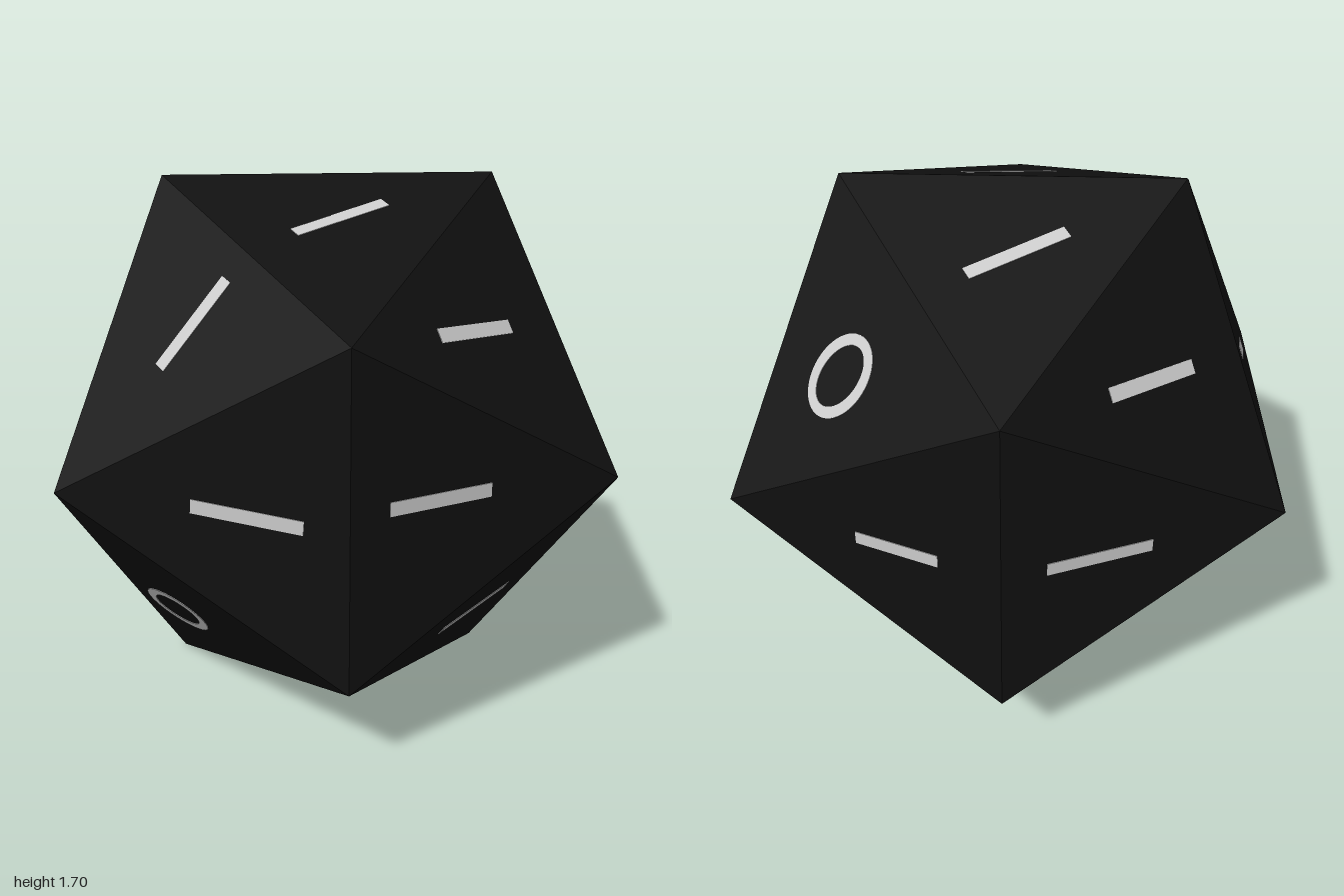
import * as THREE from 'three';
import { ConvexGeometry } from 'three/addons/geometries/ConvexGeometry.js';

const RAD = Math.PI / 180;
const INRADIUS = 0.7947; // centre to face of a unit icosahedron
const RING_Z = 1 / Math.sqrt(5);
const RING_R = 2 / Math.sqrt(5);

// Face bands from the front tip to the rear tip: face centre radius and z
const BANDS = {
  front: { r: 0.482, z: 0.631 },
  midFront: { r: 0.78, z: 0.149 },
  midBack: { r: 0.78, z: -0.149 },
  back: { r: 0.482, z: -0.631 },
};

// Bar inlays: band, face angle, offset to the rear, offset around, twist, length
const BARS = [
  ['front', 0, 0, 0.005, -4, 0.34],
  ['front', 72, 0.047, -0.01, 2.4, 0.32],
  ['front', 144, -0.03, 0.024, 2, 0.32],
  ['front', 216, -0.027, -0.013, 1, 0.31],
  ['midFront', 0, -0.016, 0.045, 0, 0.33],
  ['midFront', 72, 0.034, 0.021, 0, 0.33],
  ['midFront', 144, 0.06, 0.01, 0, 0.33],
  ['midFront', 216, 0.03, -0.012, 0, 0.33],
  ['midFront', 288, 0.01, -0.011, 0, 0.33],
  ['midBack', 36, -0.09, 0, 0, 0.33],
  ['midBack', 108, -0.02, 0.015, 0, 0.33],
  ['midBack', 180, 0, 0, 0, 0.33],
  ['midBack', 252, 0, 0, 0, 0.33],
  ['midBack', 324, -0.03, 0, 0, 0.33],
  ['back', 36, 0.04, 0.007, 0, 0.28],
  ['back', 180, 0.03, 0, 0, 0.27],
  ['back', 252, 0.03, 0, 0, 0.27],
  ['back', 324, 0.06, 0, 0, 0.27],
];

// Oval inlays: band, face angle, offset to the rear, offset around, half sizes
const OVALS = [
  ['front', 288, 0.004, -0.126, 0.113, 0.136],
  ['back', 108, 0.04, 0.006, 0.14, 0.11],
];

// Lays a mesh on a face; its local x runs to the rear, y around, z outward
function placeOnFace(mesh, band, degrees, rearward, around, twist = 0) {
  const { r, z } = BANDS[band];
  const a = degrees * RAD;
  const normal = new THREE.Vector3(r * Math.cos(a), r * Math.sin(a), z).normalize();
  const tangent = new THREE.Vector3(-Math.sin(a), Math.cos(a), 0);
  const rear = new THREE.Vector3().crossVectors(tangent, normal);
  mesh.quaternion.setFromRotationMatrix(new THREE.Matrix4().makeBasis(rear, tangent, normal));
  mesh.rotateZ(twist * RAD);
  mesh.position.copy(normal).multiplyScalar(INRADIUS)
    .addScaledVector(rear, rearward).addScaledVector(tangent, around);
  return mesh;
}

function ovalGeometry(a, b) {
  const shape = new THREE.Shape().absellipse(0, 0, a, b, 0, Math.PI * 2);
  shape.holes.push(new THREE.Path().absellipse(0, 0, a - 0.034, b - 0.036, 0, Math.PI * 2, true));
  return new THREE.ExtrudeGeometry(shape, { depth: 0.012, bevelEnabled: false, curveSegments: 24 })
    .translate(0, 0, -0.01);
}

export function createModel() {
  const model = new THREE.Group();
  model.name = 'twentySidedDie';
  const die = new THREE.Group();
  die.name = 'die';
  die.position.y = RING_R * Math.sin(72 * RAD);
  model.add(die);

  const black = new THREE.MeshStandardMaterial({ color: 0x101010, flatShading: true });
  const grey = new THREE.MeshStandardMaterial({ color: 0xcccccc });

  // Body: two tips and two staggered rings of five corners
  const corners = [new THREE.Vector3(0, 0, 1), new THREE.Vector3(0, 0, -1)];
  for (let i = 0; i < 5; i++) {
    const a = i * 72 * RAD;
    const x = RING_R * Math.cos(a), y = RING_R * Math.sin(a);
    corners.push(new THREE.Vector3(x, y, -RING_Z), new THREE.Vector3(-x, -y, RING_Z));
  }
  const body = new THREE.Mesh(new ConvexGeometry(corners), black);
  body.name = 'body';
  die.add(body);

  // Bar inlays, almost flush with the faces
  for (const [band, angle, rearward, around, twist, length] of BARS) {
    const geometry = new THREE.BoxGeometry(length, 0.044, 0.012).translate(0, 0, -0.004);
    const bar = new THREE.Mesh(geometry, grey);
    bar.name = 'barInlay';
    die.add(placeOnFace(bar, band, angle, rearward, around, twist));
  }

  // Oval inlays
  for (const [band, angle, rearward, around, a, b] of OVALS) {
    const oval = new THREE.Mesh(ovalGeometry(a, b), grey);
    oval.name = 'ovalInlay';
    die.add(placeOnFace(oval, band, angle, rearward, around));
  }
  return model;
}
